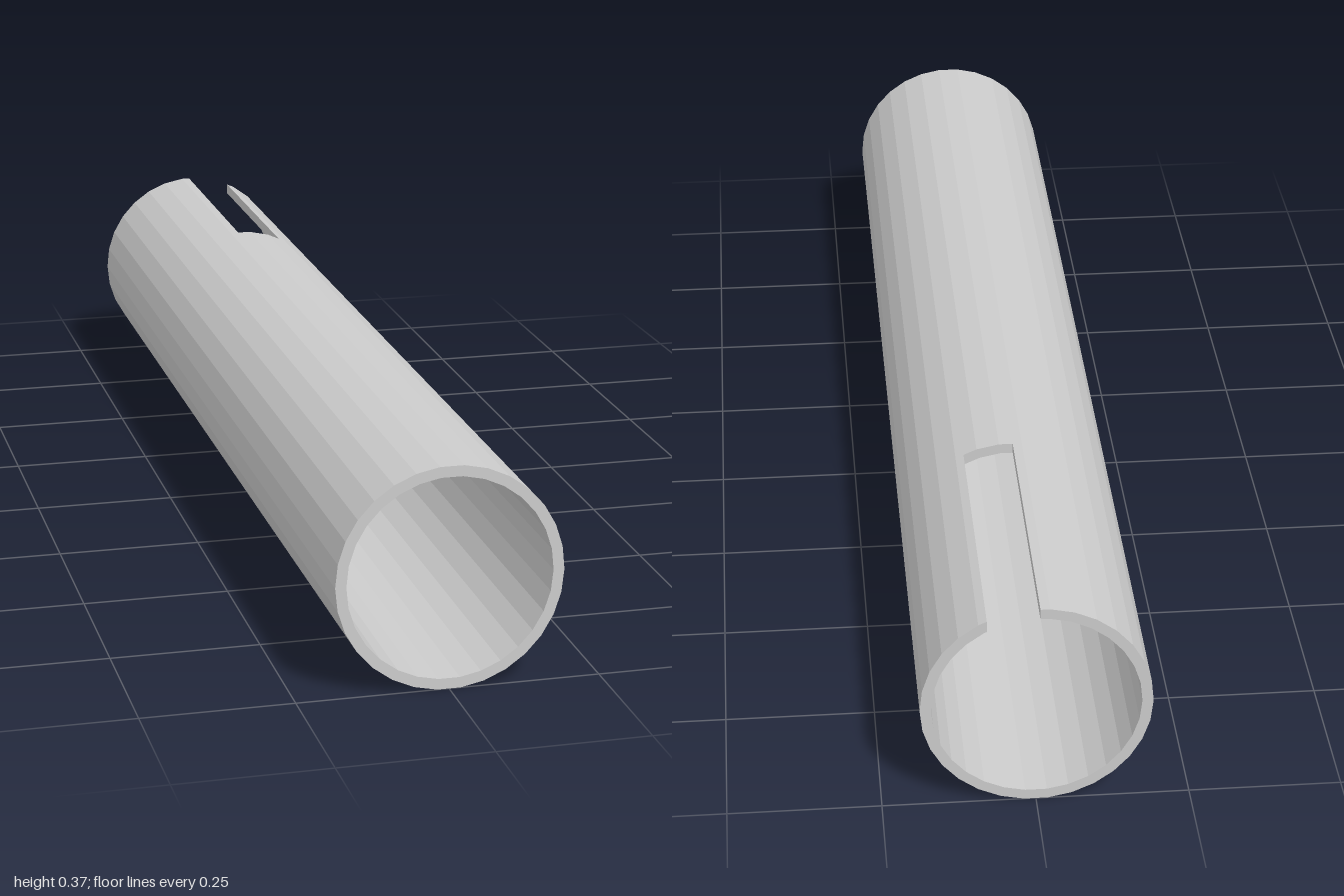
import * as THREE from 'three';
import { mergeGeometries } from 'three/addons/utils/BufferGeometryUtils.js';

const SIDES = 30, OUTER = 0.187, INNER = 0.169;
const CENTRE_Y = OUTER * Math.cos(Math.PI / SIDES);
const SLOT_LEFT = 0.08, SLOT_RIGHT = -0.004, SLOT_END = -0.51;

// Corner k of a 30-sided ring
const corner = (r, k) => {
  const a = (k * 2 * Math.PI) / SIDES;
  return new THREE.Vector2(r * Math.cos(a), r * Math.sin(a));
};
const corners = (r, from, to) => {
  const step = Math.sign(to - from), pts = [];
  for (let k = from; k !== to + step; k += step) pts.push(corner(r, k));
  return pts;
};
// Point where a vertical cut at x meets the top of the ring, on facet k to k + 1
const cut = (r, x, k) => {
  const a = corner(r, k), b = corner(r, k + 1);
  return a.lerp(b, (x - a.x) / (b.x - a.x));
};

// Extrude from z0 to z1, leaving out the hidden cap at the joint
function extrudeOpen(shape, z0, z1) {
  const geo = new THREE.ExtrudeGeometry(shape, { depth: z1 - z0, bevelEnabled: false });
  geo.translate(0, 0, z0);
  const p = geo.attributes.position, kept = [];
  for (let i = 0; i < p.count; i += 3) {
    const atJoint = [0, 1, 2].every((j) => Math.abs(p.getZ(i + j) - SLOT_END) < 1e-5);
    if (!atJoint) for (let j = 0; j < 3; j++) kept.push(p.getX(i + j), p.getY(i + j), p.getZ(i + j));
  }
  const out = new THREE.BufferGeometry();
  out.setAttribute('position', new THREE.Float32BufferAttribute(kept, 3));
  return out;
}

export function createModel() {
  const group = new THREE.Group();
  group.name = 'slottedTube';

  // Full ring section
  const ring = new THREE.Shape(corners(OUTER, 0, SIDES - 1));
  ring.holes.push(new THREE.Path(corners(INNER, 0, SIDES - 1)));

  // Ring section broken by the slot
  const slotted = new THREE.Shape([
    cut(OUTER, SLOT_LEFT, 5), ...corners(OUTER, 5, 8 - SIDES), cut(OUTER, SLOT_RIGHT, 7),
    cut(INNER, SLOT_RIGHT, 7), ...corners(INNER, 8 - SIDES, 5), cut(INNER, SLOT_LEFT, 5),
  ]);

  // Wall closing the inner end of the slot, facing the back
  const end = new THREE.ShapeGeometry(new THREE.Shape([
    cut(OUTER, SLOT_LEFT, 5), ...corners(OUTER, 6, 7), cut(OUTER, SLOT_RIGHT, 7),
    cut(INNER, SLOT_RIGHT, 7), ...corners(INNER, 7, 6), cut(INNER, SLOT_LEFT, 5),
  ])).toNonIndexed();
  end.deleteAttribute('uv');
  end.deleteAttribute('normal');
  end.translate(0, 0, SLOT_END);

  const tube = mergeGeometries([
    extrudeOpen(ring, SLOT_END, 1),
    extrudeOpen(slotted, -1, SLOT_END),
    end,
  ]);
  tube.translate(0, CENTRE_Y, 0);
  tube.computeVertexNormals();

  const mesh = new THREE.Mesh(tube, new THREE.MeshStandardMaterial({
    color: 0xcccccc, flatShading: true, side: THREE.DoubleSide,
  }));
  mesh.name = 'tube';
  group.add(mesh);
  return group;
}
